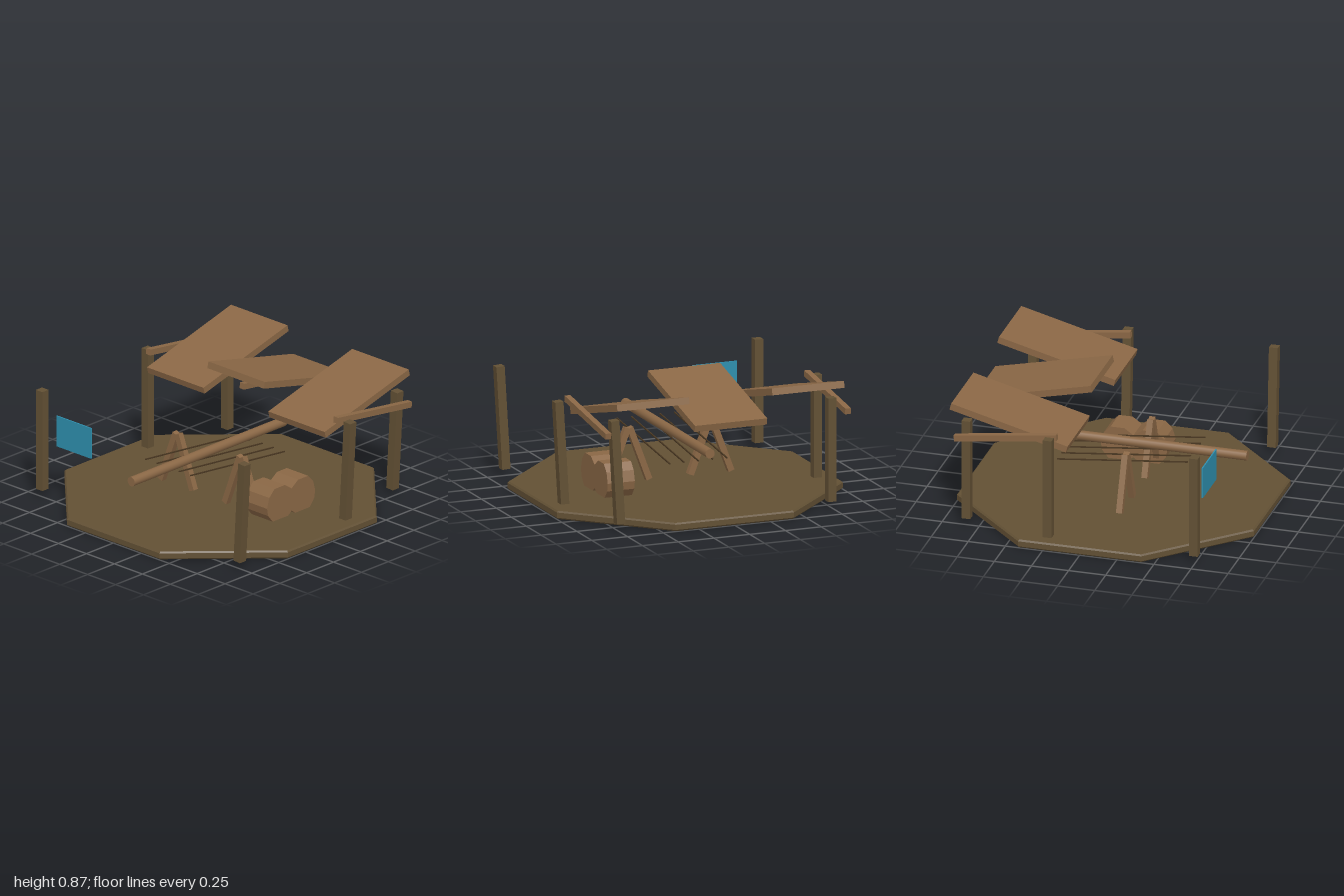
import * as THREE from 'three';

export function createModel() {
  const model = new THREE.Group();
  const material = (name, color) => {
    const m = new THREE.MeshStandardMaterial({ color });
    m.name = name;
    return m;
  };
  const wood = material('light wood', 0x8a6745);
  const darkWood = material('dark wood', 0x625034);
  const cord = material('dark cord', 0x4a3822);
  const blue = material('blue cloth', 0x2e8fae);

  const add = (name, geometry, mat, x, y, z, rx = 0, rz = 0) => {
    const mesh = new THREE.Mesh(geometry, mat);
    mesh.name = name;
    mesh.position.set(x, y, z);
    mesh.rotation.set(rx, 0, rz);
    model.add(mesh);
    return mesh;
  };
  const box = (w, h, d) => new THREE.BoxGeometry(w, h, d);

  // Octagonal platform with a small bevel
  const k = 1 / Math.cos(Math.PI / 8);
  const rim = [[0, 0], [0.99, 0], [1, 0.01], [1, 0.045], [0.99, 0.055], [0, 0.055]]
    .map(([r, y]) => new THREE.Vector2(r * k, y));
  const deck = new THREE.LatheGeometry(rim, 8, Math.PI / 8).toNonIndexed();
  deck.computeVertexNormals();
  add('platform', deck, darkWood, 0, 0, 0);

  // Posts: upright on the right-hand side, leaning outward on the left
  for (const [x, z] of [[0.885, 0.74], [0.885, -0.245], [0.74, -0.835]]) {
    add('rightPost', box(0.058, 0.69, 0.058), darkWood, -x, 0.395, z);
    add('leftPost', box(0.058, 0.69, 0.058), darkWood, x + 0.018, 0.395, z, 0, -0.06);
  }

  // Roof panels with alternating slopes
  for (const x of [-0.542, 0.542]) {
    add('sideRoofPanel', box(0.505, 0.045, 0.81), wood, x, 0.742, -0.54, 0.255);
  }
  add('middleRoofPanel', box(0.505, 0.045, 0.81), wood, 0, 0.742, -0.54, -0.225);

  // Sloping rafters
  for (const x of [-0.838, 0, 0.838]) {
    add('rafter', box(0.04, 0.04, 0.695), wood, x, 0.695, -0.545, -0.13);
  }

  // Long horizontal pole
  add('longPole', new THREE.CylinderGeometry(0.032, 0.032, 1.42, 16), wood, 0, 0.378, 0.123, Math.PI / 2);

  // Pair of A-frame trestles
  for (const x of [-0.287, 0.287]) {
    for (const s of [-1, 1]) {
      add('trestleLeg', box(0.042, 0.38, 0.04), wood, x + s * 0.075, 0.24, 0.1, 0, s * 0.36);
    }
  }

  // Thin sloping cords
  for (let i = -2; i <= 2; i++) {
    add('cord', box(0.008, 0.008, 0.885), cord, i * 0.1, 0.33, 0.05, -0.104);
  }

  // Two-lobed block, mirrored about its notch
  const half = [[0, 0.08], [0.033, 0.055], [0.176, 0.055], [0.219, 0.107],
    [0.229, 0.16], [0.208, 0.23], [0.16, 0.278], [0.063, 0.278], [0, 0.235]];
  const mirrored = half.slice(1, -1).reverse().map(([u, y]) => [-u * 0.96, y]);
  const outline = new THREE.Shape([...half, ...mirrored].map(([u, y]) => new THREE.Vector2(u, y)));
  const lobes = new THREE.ExtrudeGeometry(outline, { depth: 0.19, bevelEnabled: false });
  lobes.rotateY(-Math.PI / 2);
  add('lobedBlock', lobes, wood, 0.585, 0, -0.053);

  // Hanging blue sheet
  add('blueSheet', box(0.31, 0.212, 0.009), blue, -0.59, 0.497, 0.75);

  return model;
}
